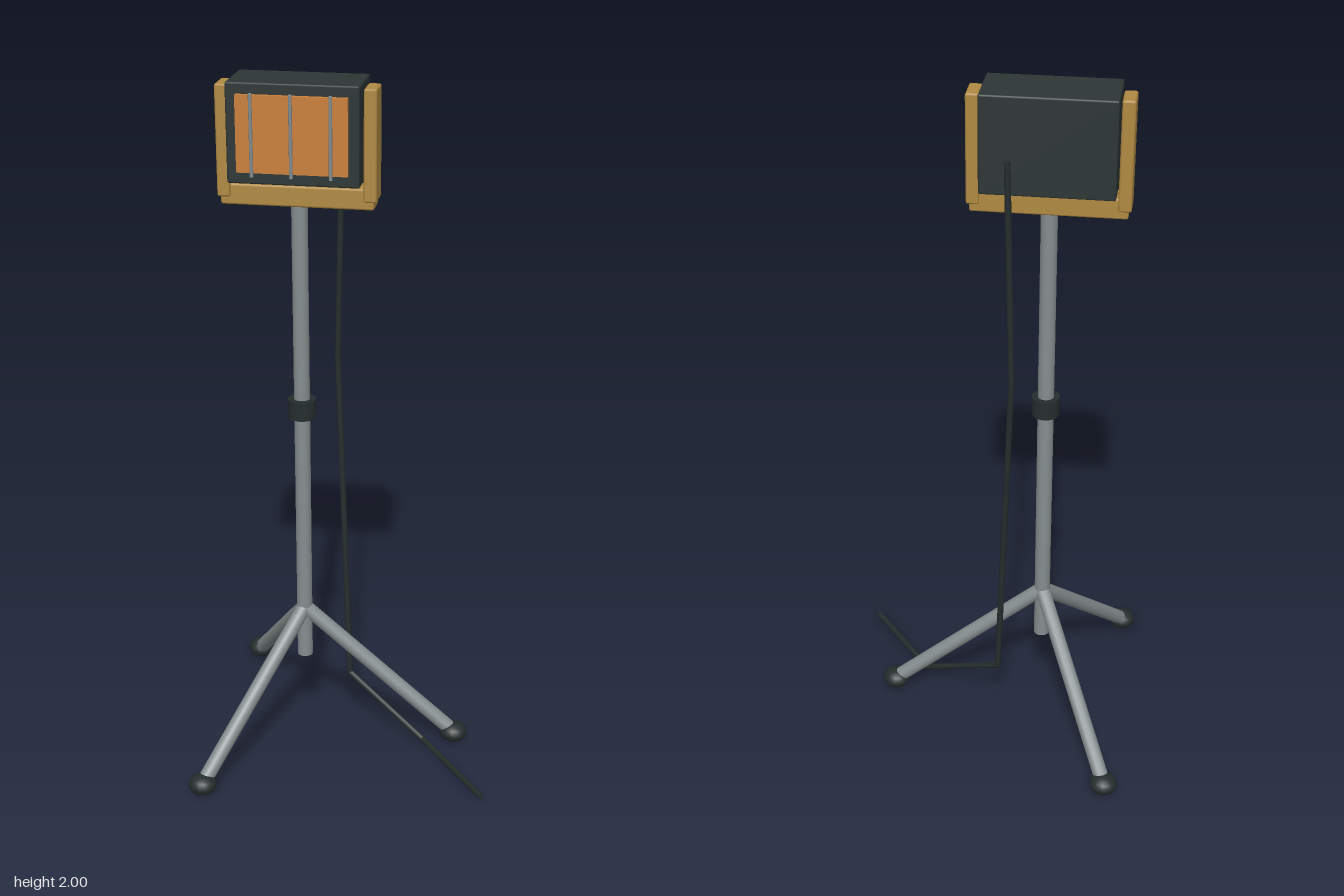
import * as THREE from 'three';
import { RoundedBoxGeometry } from 'three/addons/geometries/RoundedBoxGeometry.js';

const material = (name, color) => {
  const m = new THREE.MeshStandardMaterial({ color });
  m.name = name;
  return m;
};

export function createModel() {
  const metal = material('grey metal', 0x868e8f);
  const dark = material('dark housing', 0x2d3635);
  const black = material('black rubber', 0x252e2d);
  const orange = material('orange panel', 0xcb803b);
  const ochre = material('ochre bracket', 0xb08a42);

  const model = new THREE.Group();
  model.name = 'floodlightOnTripod';
  const poleX = -0.156;
  const v = (x, y, z) => new THREE.Vector3(x, y, z);

  const add = (name, geometry, mat, x = 0, y = 0, z = 0, parent = model) => {
    const mesh = new THREE.Mesh(geometry, mat);
    mesh.name = name;
    mesh.position.set(x, y, z);
    parent.add(mesh);
    return mesh;
  };

  // A round bar between two points
  const rod = (name, a, b, radius, mat, sides, parent = model) => {
    const mesh = add(name, new THREE.CylinderGeometry(radius, radius, a.distanceTo(b), sides), mat, 0, 0, 0, parent);
    mesh.position.copy(a).lerp(b, 0.5);
    mesh.quaternion.setFromUnitVectors(v(0, 1, 0), b.clone().sub(a).normalize());
    return mesh;
  };

  // Pole and its clamp collar
  rod('pole', v(poleX, 0.26, 0), v(poleX, 1.67, 0), 0.023, metal, 16);
  add('collar', new THREE.CylinderGeometry(0.04, 0.04, 0.056, 16), black, poleX, 1.063, 0);

  // Three splayed legs with flattened feet
  for (let i = 0; i < 3; i++) {
    const a = (i * Math.PI * 2) / 3;
    const foot = v(poleX + 0.455 * Math.cos(a), 0.03, 0.455 * Math.sin(a));
    rod('leg', v(poleX, 0.42, 0), foot, 0.022, metal, 12);
    add('foot', new THREE.SphereGeometry(0.041, 16, 10), black, foot.x, 0.03, foot.z).scale.y = 0.72;
  }

  // Lamp head with front panel and guard bars
  const head = new THREE.Group();
  head.name = 'lampHead';
  model.add(head);
  add('housing', new RoundedBoxGeometry(0.358, 0.27, 0.168, 1, 0.005), dark, poleX, 1.865, -0.001, head);
  add('panel', new THREE.BoxGeometry(0.3, 0.207, 0.02), orange, poleX, 1.867, 0.086, head);
  for (const dx of [-0.106, 0, 0.106]) {
    rod('guardBar', v(poleX + dx, 1.756, 0.106), v(poleX + dx, 1.977, 0.106), 0.005, metal, 8, head);
  }

  // U-shaped bracket
  for (const side of [-1, 1]) {
    add('bracketArm', new RoundedBoxGeometry(0.036, 0.305, 0.083, 1, 0.006), ochre,
      poleX + side * 0.2, 1.833, 0.001, head);
  }
  add('bracketBase', new RoundedBoxGeometry(0.42, 0.058, 0.07, 1, 0.006), ochre, poleX, 1.687, 0, head);

  // Power cable hanging behind and trailing along the floor
  const cable = new THREE.Group();
  cable.name = 'cable';
  model.add(cable);
  const path = [
    v(-0.055, 1.83, -0.097), v(-0.071, 1.18, -0.105), v(-0.03, 0.165, -0.065),
    v(0.213, 0.03, 0.06), v(0.415, 0.026, 0.315),
  ];
  path.slice(1).forEach((p, i) => {
    rod('cableRun', path[i], p, 0.009, black, 8, cable);
    if (i < path.length - 2) add('cableBend', new THREE.SphereGeometry(0.009, 8, 6), black, p.x, p.y, p.z, cable);
  });

  return model;
}
